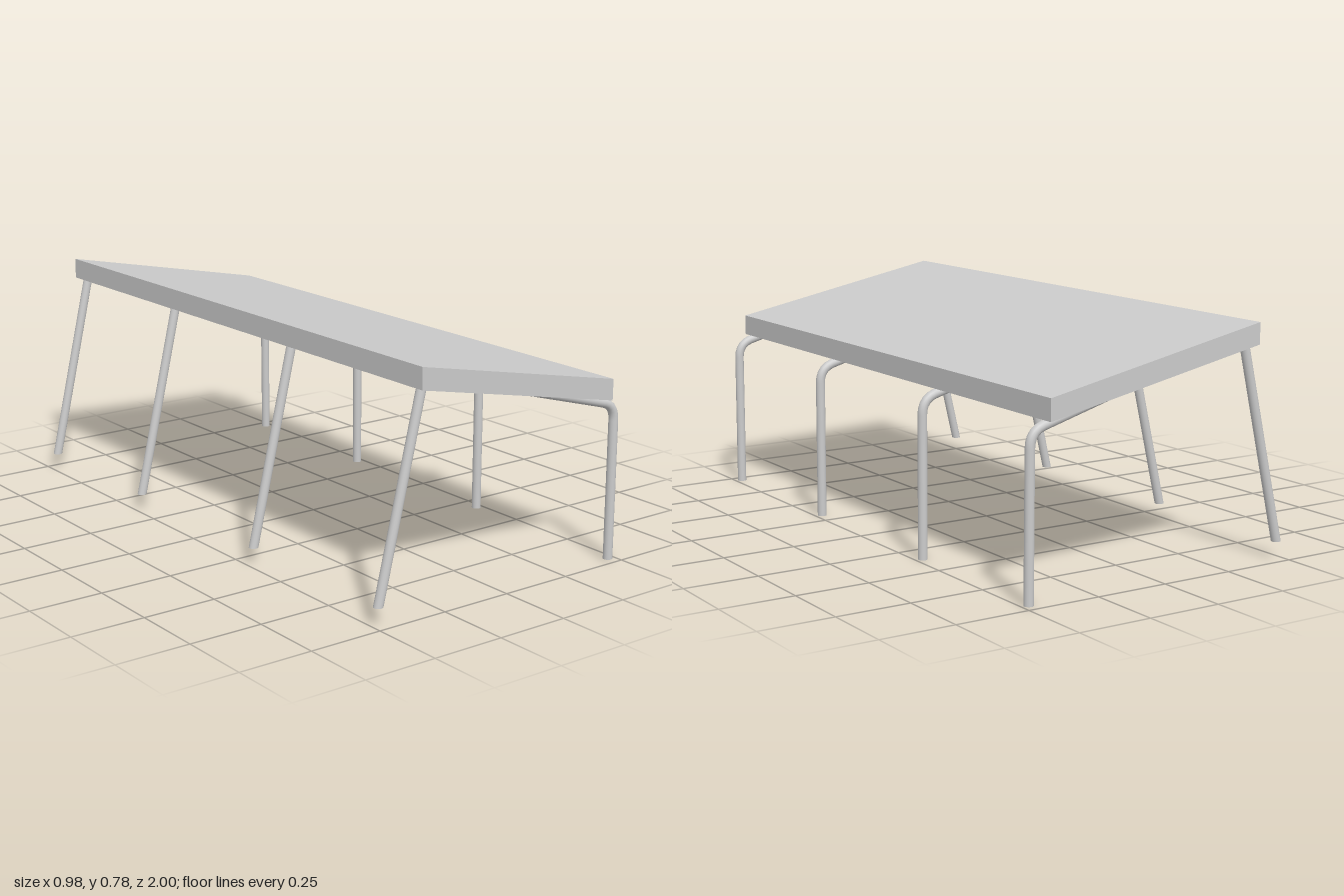
import * as THREE from 'three';

const material = new THREE.MeshStandardMaterial({ color: 0xcccccc });
const SLOPE = 0.2026, TOP_Y = 0.7045; // upper surface: y = TOP_Y - SLOPE * x
const X0 = -0.353, X1 = 0.427, DEPTH = 0.07, WALL = 0.008;
const R = 0.0155;

// Box given by its ranges, with heights measured down from the sloping surface
function slopedBox(name, x0, x1, d0, d1, z0, z1) {
  const g = new THREE.BoxGeometry(x1 - x0, d1 - d0, z1 - z0);
  g.translate((x0 + x1) / 2, TOP_Y - (d0 + d1) / 2, (z0 + z1) / 2);
  const p = g.attributes.position;
  for (let i = 0; i < p.count; i++) p.setY(i, p.getY(i) - SLOPE * p.getX(i));
  g.computeVertexNormals();
  const mesh = new THREE.Mesh(g, material);
  mesh.name = name;
  return mesh;
}

// Polyline path with rounded corners
function roundedPath(points, bend) {
  const path = new THREE.CurvePath();
  let from = points[0];
  for (let i = 1; i < points.length - 1; i++) {
    const c = points[i];
    const a = c.clone().add(points[i - 1].clone().sub(c).setLength(bend));
    const b = c.clone().add(points[i + 1].clone().sub(c).setLength(bend));
    path.add(new THREE.LineCurve3(from, a));
    path.add(new THREE.QuadraticBezierCurve3(a, c, b));
    from = b;
  }
  path.add(new THREE.LineCurve3(from, points[points.length - 1]));
  return path;
}

export function createModel() {
  const model = new THREE.Group();

  // Hollow sloping top, open underneath
  const top = new THREE.Group();
  top.name = 'slopingTop';
  top.add(
    slopedBox('topPanel', X0, X1, 0, WALL, -1, 1),
    slopedBox('highSide', X0, X0 + WALL, WALL, DEPTH, -1, 1),
    slopedBox('lowSide', X1 - WALL, X1, WALL, DEPTH, -1, 1),
    slopedBox('frontEnd', X0 + WALL, X1 - WALL, WALL, DEPTH, 1 - WALL, 1),
    slopedBox('backEnd', X0 + WALL, X1 - WALL, WALL, DEPTH, -1, -1 + WALL)
  );
  model.add(top);

  // Bent pipe: leaning leg, cross bar under the top, upright leg
  const v = (x, y) => new THREE.Vector3(x, y, 0);
  const points = [v(-0.477, 0.057), v(-0.3156, 0.741), v(0.473, 0.519), v(0.475, 0)];
  const tubular = 120, radial = 16;
  const pipe = new THREE.TubeGeometry(roundedPath(points, 0.05), tubular, R, radial, false);

  // Cut the foot of the leaning leg level
  const dir = points[1].clone().sub(points[0]).normalize();
  const pos = pipe.attributes.position;
  for (let i = 0; i <= radial; i++) {
    const t = (points[0].y - pos.getY(i)) / dir.y;
    pos.setXY(i, pos.getX(i) + dir.x * t, points[0].y);
  }
  const foot = new THREE.CircleGeometry(R, radial).rotateX(Math.PI / 2);

  [0.962, 0.32, -0.361, -0.961].forEach((z, i) => {
    const frame = new THREE.Group();
    frame.name = 'legFrame' + (i + 1);
    const bar = new THREE.Mesh(pipe, material);
    bar.name = 'bentPipe';
    frame.add(bar);
    [points[0], points[3]].forEach((p, k) => {
      const cap = new THREE.Mesh(foot, material);
      cap.name = k ? 'uprightFoot' : 'leaningFoot';
      cap.position.copy(p);
      if (!k) cap.scale.x = 1 / dir.y;
      frame.add(cap);
    });
    frame.position.z = z;
    model.add(frame);
  });

  return model;
}
